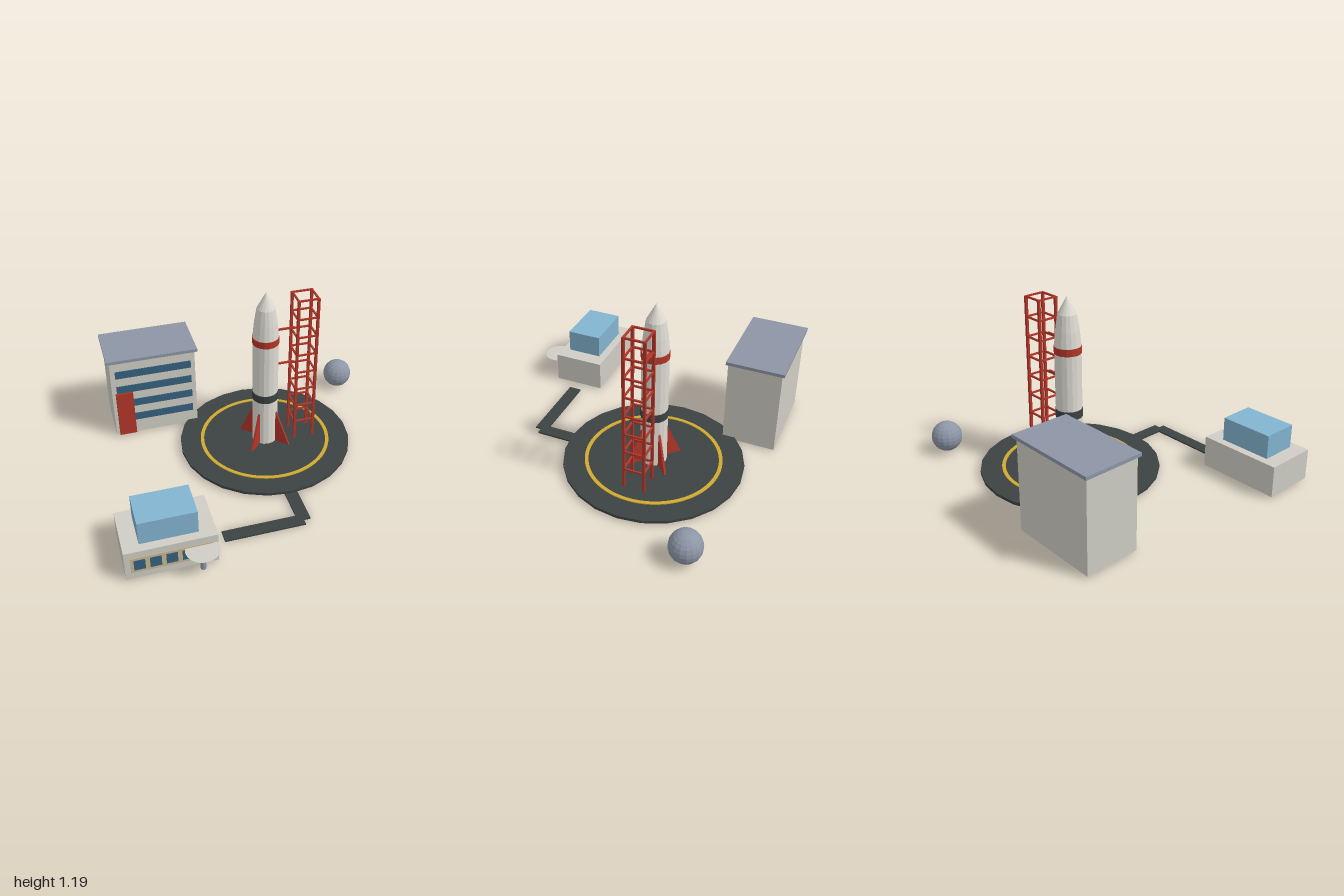
import * as THREE from 'three';

const mat = (name, color, extra = {}) => {
  const m = new THREE.MeshStandardMaterial({ color, flatShading: true, ...extra });
  m.name = name;
  return m;
};

export function createModel() {
  const wall = mat('wall', 0xcfcdc4);
  const hull = mat('hull', 0xdedbd3);
  const slate = mat('slate', 0x8d96a6);
  const glass = mat('skyGlass', 0x82b4d0);
  const tarmac = mat('tarmac', 0x3c4242);
  const yellow = mat('yellow', 0xcfaa30);
  const red = mat('red', 0xb43629);
  const pane = mat('windowBlue', 0x35617f);
  const tan = mat('tan', 0xc9b78e);

  const root = new THREE.Group();
  root.name = 'launchSite';
  const group = (name, x = 0, y = 0, z = 0) => {
    const g = new THREE.Group();
    g.name = name;
    g.position.set(x, y, z);
    root.add(g);
    return g;
  };
  const add = (parent, name, geo, material, x = 0, y = 0, z = 0) => {
    const m = new THREE.Mesh(geo, material);
    m.name = name;
    m.position.set(x, y, z);
    parent.add(m);
    return m;
  };
  // Box given by its minimum and maximum corners
  const box = (parent, name, material, x0, x1, y0, y1, z0, z1) =>
    add(parent, name, new THREE.BoxGeometry(x1 - x0, y1 - y0, z1 - z0), material,
      (x0 + x1) / 2, (y0 + y1) / 2, (z0 + z1) / 2);
  const tube = (parent, name, material, rTop, rBottom, y0, y1, sides) =>
    add(parent, name, new THREE.CylinderGeometry(rTop, rBottom, y1 - y0, sides), material, 0, (y0 + y1) / 2, 0);

  const PX = 0.157, PZ = -0.222;

  // Launch pad with painted ring
  const pad = group('launchPad', PX, 0, PZ);
  tube(pad, 'padDisc', tarmac, 0.595, 0.595, 0.011, 0.031, 24);
  const ringShape = new THREE.Shape().absarc(0, 0, 0.453, 0, Math.PI * 2);
  ringShape.holes.push(new THREE.Path().absarc(0, 0, 0.429, 0, Math.PI * 2, true));
  const ringGeo = new THREE.ExtrudeGeometry(ringShape, { depth: 0.006, bevelEnabled: false, curveSegments: 36 });
  ringGeo.rotateX(-Math.PI / 2);
  add(pad, 'padRing', ringGeo, yellow, 0, 0.031, 0);

  // Access road
  const road = group('road');
  box(road, 'roadToPad', tarmac, 0.115, 0.2, 0, 0.011, 0.1, 0.62);
  box(road, 'roadToOffice', tarmac, -0.37, 0.155, 0, 0.0105, 0.577, 0.662);

  // Rocket
  const rocket = group('rocket', PX, 0, PZ);
  tube(rocket, 'rocketBody', hull, 0.087, 0.087, 0.031, 0.868, 16);
  const nose = [[0.087, 0.868], [0.077, 0.97], [0.061, 1.075], [0, 1.187]];
  add(rocket, 'noseCone', new THREE.LatheGeometry(nose.map(p => new THREE.Vector2(...p)), 16), hull);
  tube(rocket, 'redBand', red, 0.09, 0.09, 0.818, 0.866, 16);
  tube(rocket, 'darkBand', tarmac, 0.09, 0.09, 0.38, 0.438, 16);

  // Four diagonal fins
  const finShape = new THREE.Shape();
  finShape.moveTo(0.07, 0.033);
  finShape.lineTo(0.193, 0.033);
  finShape.lineTo(0.086, 0.282);
  finShape.lineTo(0.07, 0.282);
  const finGeo = new THREE.ExtrudeGeometry(finShape, { depth: 0.014, bevelEnabled: false });
  finGeo.translate(0, 0, -0.007);
  for (let i = 0; i < 4; i++) {
    add(rocket, 'fin', finGeo, red).rotation.y = Math.PI / 4 + i * Math.PI / 2;
  }

  // Service tower: posts, rungs and two arms
  const tower = group('serviceTower', 0.422, 0, PZ);
  const h = 0.067;
  for (const sx of [-1, 1]) for (const sz of [-1, 1]) {
    add(tower, 'towerPost', new THREE.BoxGeometry(0.017, 1.095, 0.017), red, sx * h, 0.5785, sz * h);
  }
  for (let i = 0; i < 8; i++) {
    const y = 0.171 + i * 0.136;
    for (const s of [-1, 1]) {
      add(tower, 'towerRung', new THREE.BoxGeometry(2 * h, 0.011, 0.011), red, 0, y, s * h);
      add(tower, 'towerRung', new THREE.BoxGeometry(0.011, 0.011, 2 * h), red, s * h, y, 0);
    }
  }
  for (const y of [0.634, 0.898]) {
    box(tower, 'towerArm', red, -0.2, -h, y - 0.006, y + 0.006, -0.006, 0.006);
  }

  // Assembly building
  const hall = group('assemblyBuilding');
  box(hall, 'hallWalls', wall, -0.843, -0.25, 0.011, 0.61, -0.925, -0.567);
  box(hall, 'hallRoof', slate, -0.862, -0.23, 0.61, 0.632, -0.942, -0.556);
  for (let i = 0; i < 4; i++) {
    const y = 0.145 + i * 0.1225;
    box(hall, 'windowStrip', pane, -0.81, -0.28, y - 0.028, y + 0.028, -0.567, -0.561);
  }
  box(hall, 'hallDoor', red, -0.82, -0.7, 0.011, 0.36, -0.567, -0.552);

  // Control office with glass upper room
  const office = group('controlOffice');
  box(office, 'officeWalls', wall, -1, -0.442, 0.011, 0.22, 0.446, 0.797);
  box(office, 'glassRoom', glass, -0.9, -0.545, 0.22, 0.378, 0.5, 0.741);
  box(office, 'windowBand', tan, -0.965, -0.477, 0.06, 0.172, 0.797, 0.8);
  for (let i = 0; i < 5; i++) {
    const x = -0.912 + i * 0.0955;
    box(office, 'officeWindow', pane, x - 0.034, x + 0.034, 0.08, 0.155, 0.8, 0.803);
  }

  // Antenna dish on a post
  const antenna = group('antenna', -0.546, 0, 0.833);
  tube(antenna, 'antennaPost', slate, 0.016, 0.018, 0.011, 0.122, 10);
  tube(antenna, 'antennaDish', wall, 0.104, 0.026, 0.118, 0.164, 20);

  // Spherical storage tank
  const tank = group('storageTank', 0.895, 0.117, -0.714);
  add(tank, 'tankSphere', new THREE.SphereGeometry(0.104, 16, 12), slate);

  return root;
}
